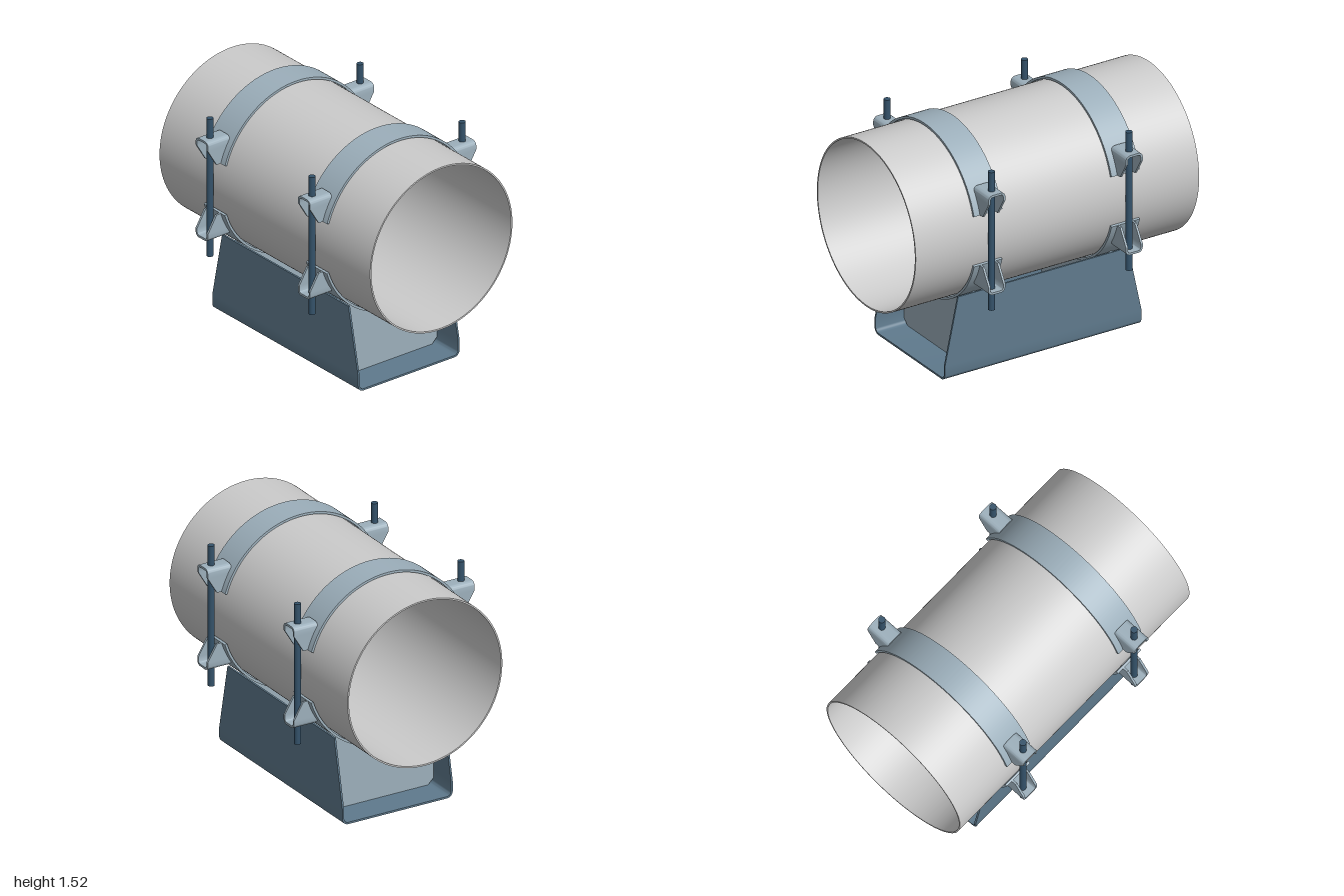
import * as THREE from 'three';
import { toCreasedNormals } from 'three/addons/utils/BufferGeometryUtils.js';

const CY = 0.958;        // height of the pipe axis
const BAND_X = 0.485;    // clamp bands sit at +/- this x
const ROD_Z = 0.57;

const material = (color) => new THREE.MeshStandardMaterial({ color });

// Extrude a (z, y) outline along x, centred on x = 0
function extrudeX(shape, width) {
  const g = new THREE.ExtrudeGeometry(shape, { depth: width, bevelEnabled: false, curveSegments: 96 });
  g.translate(0, 0, -width / 2);
  g.rotateY(Math.PI / 2);
  return toCreasedNormals(g, 0.5);
}

// Bent U-shaped strip, open at the top; range(v) gives its near and far depth at height v
function bentChannel(halfW, bottom, heights, radius, thickness, range) {
  const path = heights.map((v) => [-halfW, v, 1, 0]);
  const arc = (cu, from) => {
    for (let i = 0; i <= 8; i++) {
      const a = from + (i / 8) * Math.PI / 2;
      const c = Math.cos(a), s = Math.sin(a);
      path.push([cu + radius * c, bottom + radius + radius * s, -c, -s]);
    }
  };
  arc(-halfW + radius, Math.PI);
  arc(halfW - radius, Math.PI * 1.5);
  [...heights].reverse().forEach((v) => path.push([halfW, v, -1, 0]));

  const pos = [], idx = [];
  path.forEach(([u, v, nu, nv], k) => {
    const iu = u + nu * thickness, iv = v + nv * thickness;
    const [a, b] = range(v), [ia, ib] = range(iv);
    pos.push(u, v, a, u, v, b, iu, iv, ib, iu, iv, ia);
    if (k === path.length - 1) return;
    for (let j = 0; j < 4; j++) {
      const p = k * 4 + j, q = k * 4 + (j + 1) % 4;
      idx.push(p, p + 4, q + 4, p, q + 4, q);
    }
  });
  const e = (path.length - 1) * 4;
  idx.push(0, 1, 2, 0, 2, 3, e, e + 2, e + 1, e, e + 3, e + 2);
  const g = new THREE.BufferGeometry();
  g.setAttribute('position', new THREE.Float32BufferAttribute(pos, 3));
  g.setIndex(idx);
  return toCreasedNormals(g, 0.5);
}

export function createModel() {
  const model = new THREE.Group();
  model.name = 'pipeSupport';
  const grey = material(0xcccccc);
  const clampMat = material(0x9cafbb);
  const saddleMat = material(0x5f7a8d);
  const rodMat = material(0x34526a);

  const add = (name, geometry, mat, x = 0, y = 0, z = 0) => {
    const mesh = new THREE.Mesh(geometry, mat);
    mesh.name = name;
    mesh.position.set(x, y, z);
    model.add(mesh);
    return mesh;
  };

  // Pipe
  const ring = new THREE.Shape().absarc(0, 0, 0.54, 0, Math.PI * 2);
  ring.holes.push(new THREE.Path().absarc(0, 0, 0.53, 0, Math.PI * 2, true));
  add('pipe', extrudeX(ring, 2), grey, 0, CY);

  // Saddle channel, its ends tapering in above a short upright foot
  const saddle = bentChannel(0.385, 0, [0.535, 0.1], 0.04, 0.012, (v) => {
    const half = v <= 0.1 ? 0.693 : THREE.MathUtils.mapLinear(v, 0.1, 0.535, 0.693, 0.6);
    return [-half, half];
  });
  saddle.rotateY(Math.PI / 2);
  add('saddle', saddle, saddleMat);

  // Cross plate under each band, with clipped lower corners and a cradle arc
  const plate = new THREE.Shape();
  plate.moveTo(-0.337, 0.012);
  plate.lineTo(0.337, 0.012);
  plate.lineTo(0.373, 0.048);
  plate.lineTo(0.373, 0.535);
  plate.absarc(0, CY, 0.56, -0.856, -Math.PI + 0.856, true);
  plate.lineTo(-0.373, 0.535);
  plate.lineTo(-0.373, 0.048);
  const plateGeo = extrudeX(plate, 0.015);

  // Half band
  const gap = 0.3;
  const band = new THREE.Shape();
  band.absarc(0, 0, 0.56, gap, Math.PI - gap, false);
  band.absarc(0, 0, 0.545, Math.PI - gap, gap, true);
  const bandGeo = extrudeX(band, 0.2);

  // Lug: bent strap whose cheeks follow the band inside and taper outside
  const lugGeo = bentChannel(0.059, -0.33, [-0.167, -0.2, -0.24, -0.275], 0.03, 0.014, (v) => [
    Math.max(0.465, Math.sqrt(0.557 ** 2 - v * v)),
    v < -0.275 ? 0.63 : THREE.MathUtils.mapLinear(v, -0.275, -0.167, 0.63, 0.565),
  ]);

  const rodGeo = new THREE.CylinderGeometry(0.021, 0.021, 0.915, 32);

  for (const x of [-BAND_X, BAND_X]) {
    add('crossPlate', plateGeo, clampMat, x);
    add('upperBand', bandGeo, clampMat, x, CY);
    add('lowerBand', bandGeo, clampMat, x, CY).rotation.x = Math.PI;

    // Half turns carry the lower front lug to the other three places
    add('lowerFrontLug', lugGeo, clampMat, x, CY);
    add('upperFrontLug', lugGeo, clampMat, x, CY).rotation.z = Math.PI;
    add('lowerBackLug', lugGeo, clampMat, x, CY).rotation.y = Math.PI;
    add('upperBackLug', lugGeo, clampMat, x, CY).rotation.x = Math.PI;

    add('frontRod', rodGeo, rodMat, x, CY, ROD_Z);
    add('backRod', rodGeo, rodMat, x, CY, -ROD_Z);
  }
  return model;
}
